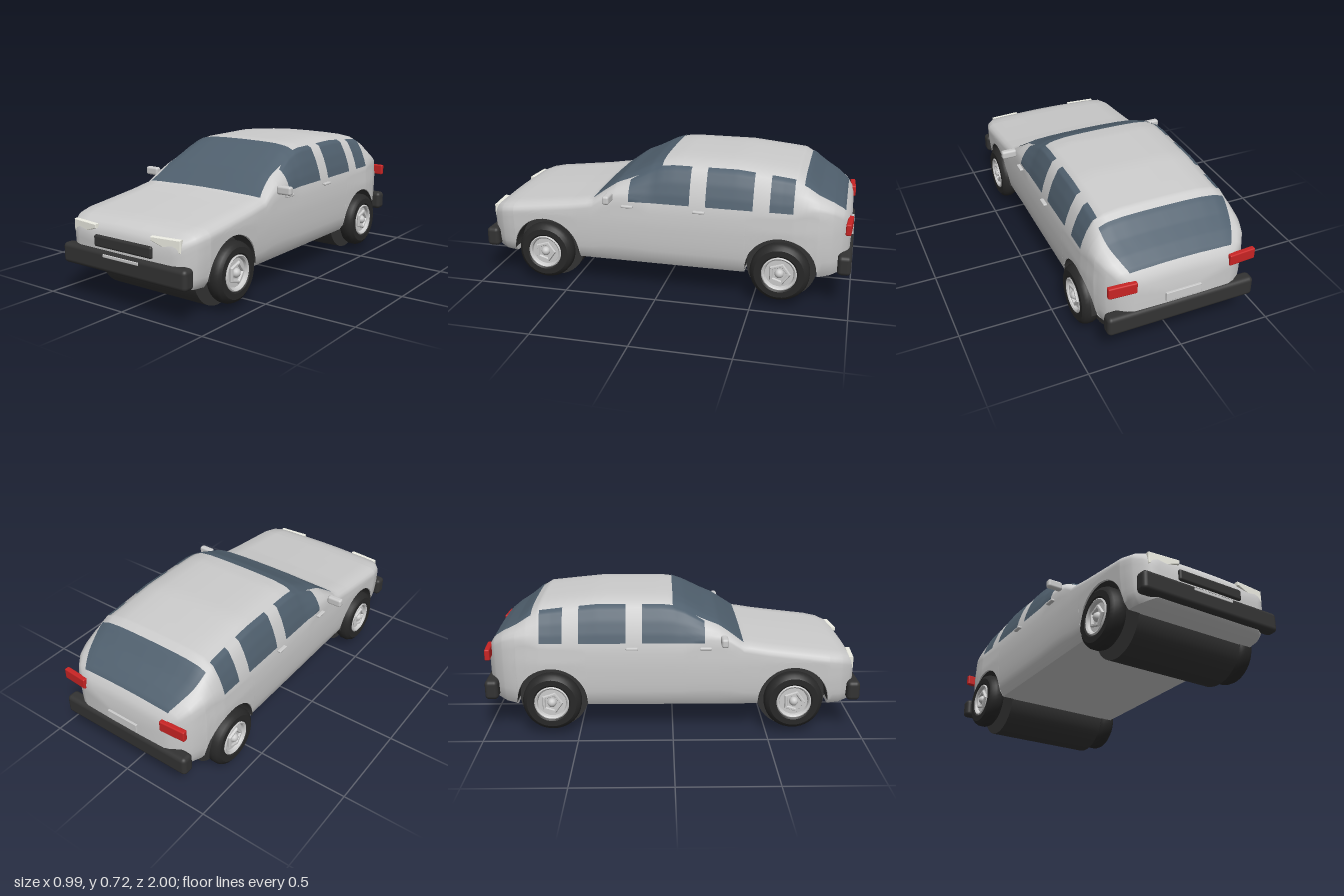
import * as THREE from 'three';
import { toCreasedNormals } from 'three/addons/utils/BufferGeometryUtils.js';
import { RoundedBoxGeometry } from 'three/addons/geometries/RoundedBoxGeometry.js';

const mat = (color, side = THREE.FrontSide) => new THREE.MeshStandardMaterial({ color, side });
const grey = mat(0xcccccc), dark = mat(0x333333), rubber = mat(0x282828), red = mat(0xc82424);
const lamp = mat(0xeeeee4), glass = mat(0x50606e, THREE.DoubleSide), liner = mat(0x333333, THREE.DoubleSide);

const AXLE_Z = 0.64, AXLE_Y = 0.185, ARCH = 0.186;

// Body stations, front to back: z, roof height, width factor, floor height
const STATIONS = [
  [0.972, 0.37, 0.74, 0.19], [0.962, 0.395, 0.82, 0.175], [0.94, 0.416, 0.89, 0.165], [0.89, 0.434, 0.965, 0.157],
  [0.82, 0.446, 1, 0.155], [0.7, 0.46, 1, 0.155], [0.5, 0.484, 1, 0.155], [0.37, 0.505, 1, 0.155],
  [0.3, 0.56, 1, 0.155], [0.24, 0.605, 1, 0.155], [0.17, 0.637, 1, 0.155], [0.06, 0.696, 1, 0.155],
  [0, 0.717, 1, 0.155], [-0.06, 0.724, 1, 0.155], [-0.4, 0.724, 1, 0.155], [-0.6, 0.704, 1, 0.155],
  [-0.7, 0.693, 1, 0.155], [-0.76, 0.655, 0.985, 0.155], [-0.82, 0.605, 0.96, 0.155], [-0.89, 0.56, 0.9, 0.165],
  [-0.94, 0.52, 0.81, 0.18], [-0.97, 0.48, 0.71, 0.2], [-0.982, 0.44, 0.63, 0.22],
];
// Lower side wall: y, half width
const WALL = [[0.155, 0.375], [0.18, 0.395], [0.22, 0.405], [0.3, 0.413], [0.4, 0.416], [0.49, 0.41]];

// Linear interpolation in a table, from column a to column b
function lookup(table, v, a = 0, b = 1) {
  const s = Math.sign(table[table.length - 1][a] - table[0][a]);
  let i = 0;
  while (i < table.length - 2 && s * v > s * table[i + 1][a]) i++;
  const p = table[i], q = table[i + 1];
  return THREE.MathUtils.lerp(p[b], q[b], THREE.MathUtils.clamp((v - p[a]) / (q[a] - p[a]), 0, 1));
}
const roofY = z => lookup(STATIONS, z);

// Upper half section, from the roof centre out and down to the belt line
function upper(z) {
  const T = roofY(z), w = lookup(STATIONS, z, 0, 2);
  const k = THREE.MathUtils.clamp((T - 0.5) / 0.2, 0, 1);
  const belt = THREE.MathUtils.lerp(T - 0.05, 0.49, k);
  const edge = [0.385 - 0.045 * k, T - 0.01 - 0.03 * k];
  const bx = lookup(WALL, belt);
  return [[0, T], [0.12, T - 0.001], [0.21, T - 0.004], [0.31 - 0.02 * k, T - 0.006 - 0.009 * k], edge,
    [(edge[0] * 2 + bx) / 3 + 0.009, (edge[1] * 2 + belt) / 3],
    [(edge[0] + bx * 2) / 3 + 0.008, (edge[1] + belt * 2) / 3], [bx, belt]].map(([x, y]) => [x * w, y]);
}

// Whole closed section, with the wheel arch stepping in above each axle
function section(z) {
  const half = upper(z), w = lookup(STATIONS, z, 0, 2), floor = lookup(STATIONS, z, 0, 3);
  const dz = Math.abs(z) - AXLE_Z, belt = half[half.length - 1][1];
  const low = Math.abs(dz) <= ARCH ? Math.max(floor, AXLE_Y + Math.sqrt(Math.max(0, ARCH * ARCH - dz * dz))) : floor;
  for (let i = 1; i <= 8; i++) {
    const y = THREE.MathUtils.lerp(belt, low, i / 8);
    half.push([lookup(WALL, y - floor + 0.155) * w, y]);
  }
  half.push([0.305 * w, low], [0.305 * w, floor], [0, floor]);
  return [...half, ...half.slice(1, -1).reverse().map(([x, y]) => [-x, y])];
}

function bodyGeometry() {
  const zs = STATIONS.map(s => s[0]);
  for (let z = -0.95; z < 0.95; z += 0.05) zs.push(z);
  for (const s of [1, -1]) {
    for (let i = 0; i <= 24; i++) zs.push(s * AXLE_Z + (ARCH - 1e-5) * Math.cos(Math.PI * i / 24));
    zs.push(s * AXLE_Z + ARCH + 0.001, s * AXLE_Z - ARCH - 0.001);
  }
  zs.sort((a, b) => b - a);
  const pos = [], idx = [], n = section(0).length;
  zs.forEach((z, i) => {
    section(z).forEach(([x, y]) => pos.push(x, y, z));
    if (i) for (let j = 0; j < n; j++) {
      const a = (i - 1) * n + j, b = (i - 1) * n + (j + 1) % n;
      idx.push(a, b, a + n, b, b + n, a + n);
    }
  });
  // Nose and tail caps
  const last = (zs.length - 1) * n, c = zs.length * n;
  pos.push(0, 0.29, zs[0] + 0.004, 0, 0.33, zs[zs.length - 1] - 0.004);
  for (let j = 0; j < n; j++) {
    const k = (j + 1) % n;
    idx.push(c, k, j, c + 1, last + j, last + k);
  }
  const g = new THREE.BufferGeometry();
  g.setAttribute('position', new THREE.Float32BufferAttribute(pos, 3));
  g.setIndex(idx);
  return toCreasedNormals(g, 0.7);
}

// Thin sheet from a rule f(u, v) -> [x, y, z]
function sheet(f, nu = 16, nv = 16) {
  const g = new THREE.PlaneGeometry(1, 1, nu, nv), p = g.attributes.position;
  for (let i = 0; i < p.count; i++) p.setXYZ(i, ...f(p.getX(i) + 0.5, p.getY(i) + 0.5));
  g.computeVertexNormals();
  return g;
}
// Pane lying on the roof surface, half width given by a rule
const topPane = (z0, z1, halfWidth) => sheet((u, v) => {
  const z = THREE.MathUtils.lerp(z0, z1, v), x = (u * 2 - 1) * halfWidth(v);
  return [x, lookup(upper(z), Math.abs(x)) + 0.005, z];
}, 32, 32);
// Pane lying on the side of the cabin
const sidePane = (s, z0, z1) => sheet((u, v) => {
  const z = THREE.MathUtils.lerp(z0, z1, u), y = THREE.MathUtils.lerp(0.508, roofY(z) - 0.028, v);
  return [s * (lookup(upper(z).slice(3), y, 1, 0) + 0.004), y, z];
});

function wheel(side) {
  const g = new THREE.Group();
  g.name = 'wheel';
  const turn = (pts, name, m) => {
    const geo = new THREE.LatheGeometry(pts.map(p => new THREE.Vector2(...p)), 40);
    geo.rotateZ(-Math.PI / 2);
    add(g, name, toCreasedNormals(geo, 0.6), m);
  };
  turn([[0, -0.04], [0.09, -0.04], [0.1, -0.045], [0.13, -0.045], [0.147, -0.033], [0.155, -0.015],
    [0.155, 0.015], [0.147, 0.033], [0.13, 0.045], [0.1, 0.045], [0.088, 0.035], [0.085, 0.02]], 'tyre', rubber);
  turn([[0.09, 0.02], [0.092, 0.042], [0.086, 0.046], [0.078, 0.04], [0.074, 0.026], [0, 0.026]], 'rim', grey);
  const star = new THREE.TorusGeometry(0.05, 0.011, 6, 5);
  star.rotateY(Math.PI / 2);
  add(g, 'rimPentagon', toCreasedNormals(star, 0.5), grey, 0.034);
  add(g, 'hub', new THREE.SphereGeometry(0.024, 16, 12), grey, 0.03);
  if (side < 0) g.rotation.y = Math.PI;
  return g;
}

function add(parent, name, geo, material, x = 0, y = 0, z = 0) {
  const m = new THREE.Mesh(geo, material);
  m.name = name;
  m.position.set(x, y, z);
  parent.add(m);
  return m;
}
const box = (w, h, d, r) => new RoundedBoxGeometry(w, h, d, 3, r);

export function createModel() {
  const car = new THREE.Group();
  car.name = 'car';
  add(car, 'body', bodyGeometry(), grey);

  // Glass
  add(car, 'windshield', topPane(0, 0.37, v => 0.34 + 0.032 * v ** 5), glass);
  add(car, 'rearWindow', topPane(-0.74, -0.95, v => 0.335 - 0.065 * v * v), glass);
  for (const s of [1, -1])
    for (const [a, b] of [[0.165, -0.16], [-0.245, -0.49], [-0.575, -0.695]]) add(car, 'sideWindow', sidePane(s, a, b), glass);

  // Axle drums, arch liners and wheels
  for (const z of [AXLE_Z, -AXLE_Z]) {
    add(car, 'axleDrum', new THREE.CylinderGeometry(0.185, 0.185, 0.62, 40), dark, 0, AXLE_Y, z).rotation.z = Math.PI / 2;
    for (const s of [1, -1]) {
      const arch = new THREE.CylinderGeometry(0.183, 0.183, 0.097, 32, 1, true, 0, Math.PI);
      arch.rotateZ(Math.PI / 2);
      add(car, 'archLiner', arch, liner, s * 0.3585, AXLE_Y, z);
      const w = wheel(s);
      w.position.set(s * 0.39, AXLE_Y, z);
      car.add(w);
    }
  }

  // Bumpers, grille and plates
  add(car, 'frontBumper', box(0.81, 0.105, 0.07, 0.022), dark, 0, 0.23, 0.963);
  add(car, 'rearBumper', box(0.79, 0.105, 0.07, 0.022), dark, 0, 0.242, -0.963);
  add(car, 'grille', box(0.38, 0.06, 0.03, 0.012), dark, 0, 0.325, 0.972);
  add(car, 'frontPlate', box(0.235, 0.016, 0.01, 0.003), grey, 0, 0.262, 0.995);
  add(car, 'rearPlate', box(0.19, 0.05, 0.016, 0.003), grey, 0, 0.333, -0.988);

  // Lamps, mirrors and handles, mirrored left and right
  for (const s of [1, -1]) {
    const shape = new THREE.Shape([[0.082, 0.03], [-0.08, 0.028], [-0.08, 0.014], [0.025, -0.021], [0.082, -0.025]]
      .map(([x, y]) => new THREE.Vector2(s * x, y)));
    const light = new THREE.ExtrudeGeometry(shape, { depth: 0.016, bevelSize: 0.004, bevelThickness: 0.005, bevelSegments: 2 });
    add(car, 'headlight', light, lamp, s * 0.262, 0.373, 0.949).rotation.y = s * 0.1;
    add(car, 'tailLight', box(0.145, 0.06, 0.028, 0.007), red, s * 0.318, 0.44, -0.975).rotation.y = -s * 0.06;
    add(car, 'mirror', box(0.085, 0.046, 0.036, 0.012), grey, s * 0.452, 0.53, 0.265);
    for (const z of [0.17, -0.213]) add(car, 'doorHandle', box(0.022, 0.013, 0.063, 0.005), grey, s * 0.42, 0.482, z);
  }
  return car;
}
